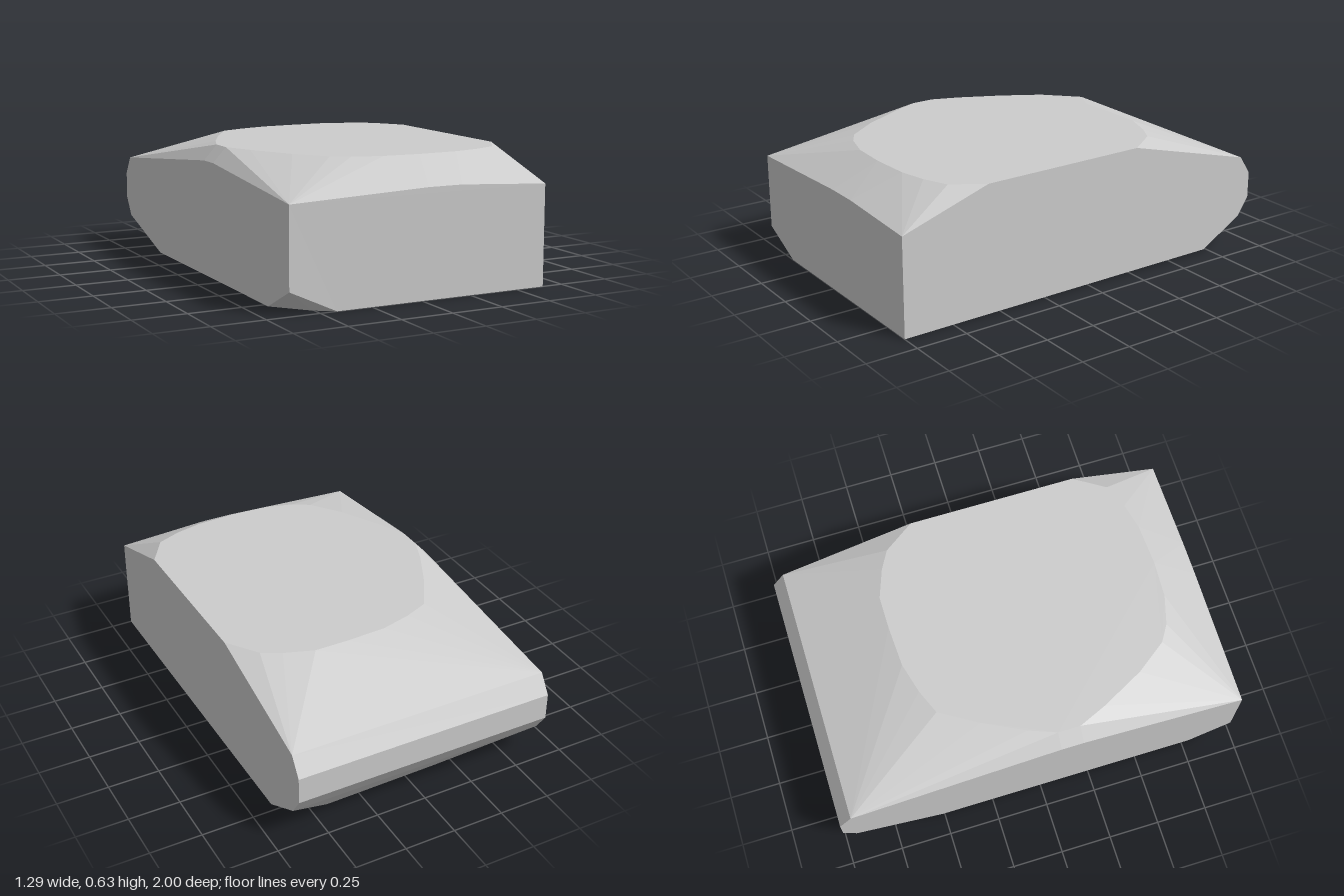
import * as THREE from 'three';
import { ConvexGeometry } from 'three/addons/geometries/ConvexGeometry.js';

export function createModel() {
  const group = new THREE.Group();
  const grey = new THREE.MeshStandardMaterial({ color: 0xcccccc });
  grey.name = 'stone grey';
  const W = 0.645;
  const points = [];
  const add = (x, y, z) => points.push(new THREE.Vector3(x, y, z));

  // Rim of the gently tilted top face (x, z)
  const top = [
    [W, 0.56], [0.55, 0.71], [0.43, 0.76], [0.3, 0.79], [0.1, 0.8], [-0.08, 0.79], [-0.22, 0.75],
    [-0.3, 0.7], [-0.41, 0.55], [-0.52, 0.34], [-0.58, 0.2], [-0.58, 0.09], [-0.53, -0.04],
    [-0.43, -0.24], [-0.32, -0.42], [-0.2, -0.47], [-0.05, -0.51], [0.15, -0.52], [0.31, -0.52],
    [0.45, -0.47], [0.54, -0.42], [W, -0.27],
  ];
  for (const [x, z] of top) add(x, 0.625 - 0.006 * z, z);

  // Rim of the underside, with its clipped corners (x, z)
  const bottom = [
    [W, 1], [W, -0.72], [0.57, -0.78], [0.42, -0.84], [-0.14, -0.83], [-0.34, -0.775],
    [-0.51, -0.66], [-W, -0.51], [-W, 0.79], [-0.51, 0.94], [-0.42, 1],
  ];
  for (const [x, z] of bottom) add(x, 0.0065 * (1 - z), z);

  // Bevelled back, running the full width (y, z)
  for (const x of [-W, W]) {
    for (const [y, z] of [[0.45, -0.94], [0.36, -1], [0.23, -1], [0.14, -0.94]]) add(x, y, z);
  }

  // Front face: slightly arched upper edge and clipped lower corner
  for (const [x, y] of [[-W, 0.475], [0.03, 0.502], [0.2, 0.502], [W, 0.477], [-W, 0.105]]) add(x, y, 1);

  // Shoulder on the right side
  add(-W, 0.553, 0.2);
  add(-W, 0.553, 0.09);

  const block = new THREE.Mesh(new ConvexGeometry(points), grey);
  block.name = 'facetedBlock';
  group.add(block);
  return group;
}
